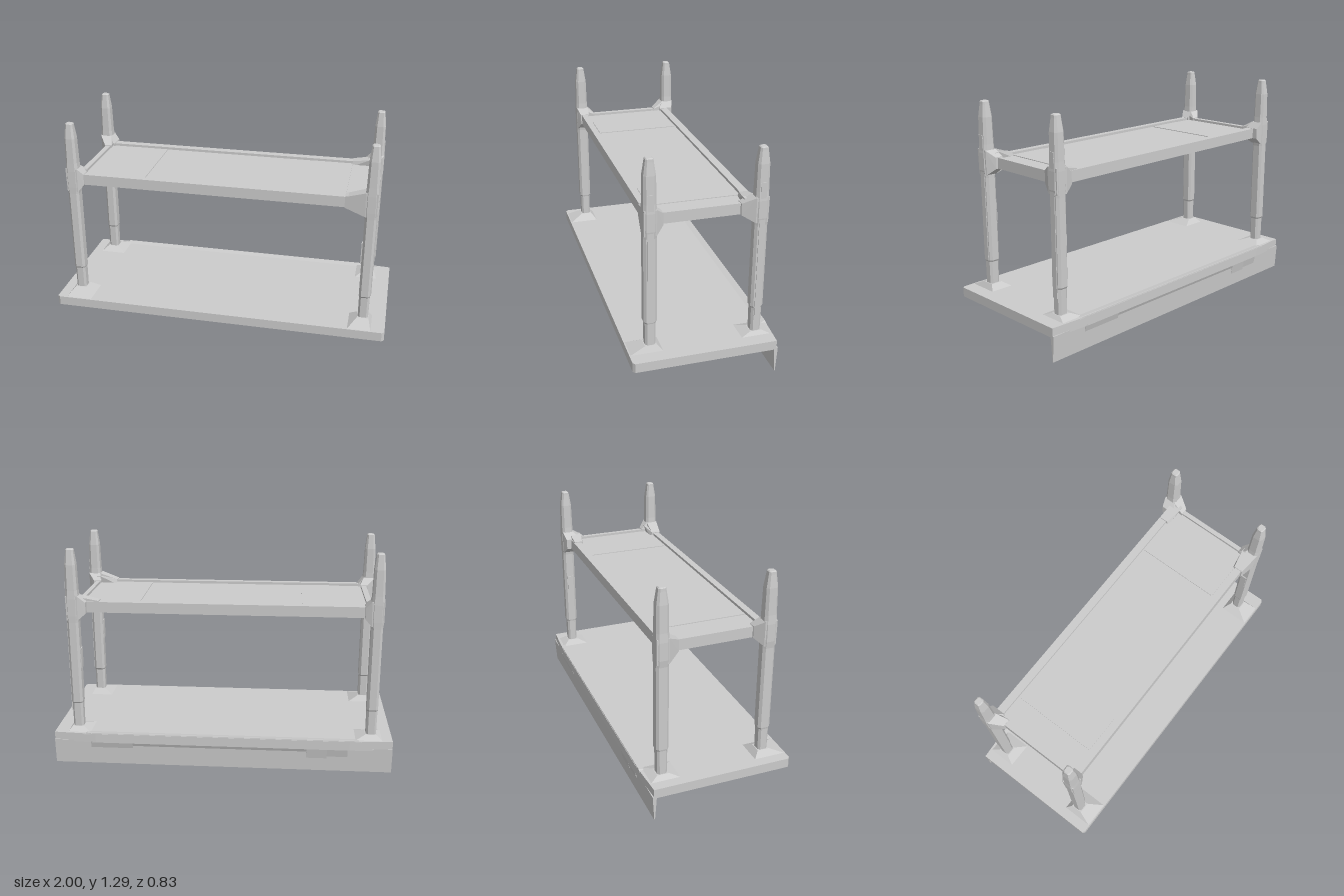
import * as THREE from 'three';
import { ConvexGeometry } from 'three/addons/geometries/ConvexGeometry.js';

const grey = new THREE.MeshStandardMaterial({ color: 0xcccccc, flatShading: true });

function add(parent, name, geometry) {
  const mesh = new THREE.Mesh(geometry, grey);
  mesh.name = name;
  parent.add(mesh);
  return mesh;
}

// Box given by its limits on each axis
function box(parent, name, x0, x1, y0, y1, z0, z1) {
  const mesh = add(parent, name, new THREE.BoxGeometry(x1 - x0, y1 - y0, z1 - z0));
  mesh.position.set((x0 + x1) / 2, (y0 + y1) / 2, (z0 + z1) / 2);
}

// Four corners of a horizontal rectangle
const rect = (y, x0, x1, z0, z1) =>
  [[x0, z0], [x1, z0], [x1, z1], [x0, z1]].map(([x, z]) => new THREE.Vector3(x, y, z));

const hull = (parent, name, ...points) => add(parent, name, new ConvexGeometry(points.flat()));

// Stack of corner-cut rectangles, each [y, x0, x1, z0, z1], closed at both ends
function loft(rings) {
  const pos = [], index = [], n = 8;
  for (const [y, x0, x1, z0, z1] of rings) {
    const c = Math.min(x1 - x0, z1 - z0) * 0.2;
    for (const [x, z] of [[x0 + c, z0], [x0, z0 + c], [x0, z1 - c], [x0 + c, z1],
      [x1 - c, z1], [x1, z1 - c], [x1, z0 + c], [x1 - c, z0]]) pos.push(x, y, z);
  }
  for (let r = 0; r < rings.length - 1; r++) {
    for (let i = 0; i < n; i++) {
      const a = r * n + i, b = r * n + (i + 1) % n;
      index.push(a, b, b + n, a, b + n, a + n);
    }
  }
  const top = (rings.length - 1) * n;
  for (let i = 1; i < n - 1; i++) index.push(0, i + 1, i, top, top + i, top + i + 1);
  const g = new THREE.BufferGeometry();
  g.setAttribute('position', new THREE.Float32BufferAttribute(pos, 3));
  g.setIndex(index);
  const flat = g.toNonIndexed();
  flat.computeVertexNormals();
  return flat;
}

// Prism along x from a convex (z, y) outline
function prismX(parent, name, outline, x0, x1) {
  hull(parent, name, [x0, x1].flatMap(x => outline.map(([z, y]) => new THREE.Vector3(x, y, z))));
}

function makePost(sx, sz) {
  const post = new THREE.Group();
  post.name = (sz > 0 ? 'front' : 'back') + (sx > 0 ? 'Left' : 'Right') + 'Post';
  const cx = sx > 0 ? 0.868 : -0.877;
  const cz = sz > 0 ? 0.288 : -0.313;
  // Shaft with a swollen collar and a tapered tip
  const ring = (y, w, d) => [y, cx - w, cx + w, cz - d, cz + d];
  add(post, 'shaft', loft([
    ring(0.18, 0.03, 0.028), ring(0.36, 0.031, 0.03), ring(0.37, 0.033, 0.036),
    ring(0.86, 0.033, 0.036), ring(0.90, 0.038, 0.037), ring(1.00, 0.038, 0.037),
    ring(1.05, 0.034, 0.035), ring(1.20, 0.031, 0.033), ring(1.27, 0.023, 0.023),
    ring(1.285, 0.022, 0.021), ring(1.29, 0.017, 0.016),
  ]));
  // Flared foot, spreading further toward the deck edges
  const outZ = sz > 0 ? 0.405 : -0.39, inZ = sz * 0.225;
  const outX = sx > 0 ? 0.92 : -0.94, inX = sx * 0.785;
  hull(post, 'foot', rect(0.18, outX, inX, outZ, inZ), rect(0.195, outX, inX, outZ, inZ),
    rect(sz > 0 ? 0.228 : 0.215, cx - 0.034, cx + 0.034, cz - 0.034, cz + 0.034));
  // Gussets reaching out to the long rail and the end rail
  const reach = sx < 0 ? -0.81 : sz > 0 ? 0.72 : 0.79;
  const root = [...rect(0.875, cx - 0.032, cx + 0.032, cz - 0.034, cz + 0.034),
    ...rect(1.018, cx - 0.035, cx + 0.035, cz - 0.035, cz + 0.035)];
  const ends = (x0, x1, z0, z1) => [...rect(0.914, x0, x1, z0, z1), ...rect(0.979, x0, x1, z0, z1)];
  hull(post, 'longGusset', root, ends(reach, reach + sx * 0.01, sz * 0.25, sz > 0 ? 0.305 : -0.335));
  hull(post, 'endGusset', root, ends(sx * 0.82, sx * 0.865, sz * 0.21, sz * 0.22));
  // Flat corner plate and thin weathered strips on the left side
  if (sx > 0) {
    hull(post, 'cornerPlate', rect(0.95, 0.72, 0.85, sz * 0.24, sz * 0.30),
      rect(0.982, 0.72, 0.73, sz * 0.25, sz * 0.30), rect(1.0, 0.82, 0.85, sz * 0.23, sz * 0.30));
    box(post, 'outerStrip', 0.88, 0.905, sz > 0 ? 0.37 : 0.31, 1.1, cz - 0.016, cz + 0.016);
    box(post, 'innerStrip', 0.829, 0.86, 0.58, 0.70, cz - 0.018, cz + 0.018);
  }
  return post;
}

export function createModel() {
  const model = new THREE.Group();
  model.name = 'twoTierShelf';

  // Lower deck with trimmed corners and a slightly raised back lip
  const plan = [[-0.985, 0.412], [0.985, 0.412], [1, 0.40], [1, -0.398], [0.75, -0.415],
    [-0.75, -0.415], [-1, -0.398], [-1, 0.40]];
  hull(model, 'lowerDeck', [0.14, 0.195].flatMap(y => plan.map(([x, z]) => new THREE.Vector3(x, y, z))));
  hull(model, 'backLip', rect(0.19, -0.82, 0.82, -0.413, -0.34), rect(0.2, -0.8, 0.8, -0.412, -0.405));

  // Hanging back skirt with uneven fillets below the deck
  prismX(model, 'backSkirt', [[-0.382, 0.15], [-0.406, 0.15], [-0.400, 0.08], [-0.397, 0],
    [-0.393, 0]], -1, 1);
  for (const [x0, x1, y] of [[-0.74, -0.62, 0.09], [-0.62, -0.5, 0.08], [-0.5, 0.53, 0.115],
    [0.53, 0.78, 0.10]])
    prismX(model, 'skirtFillet', [[-0.35, 0.145], [-0.414, 0.145], [-0.402, y], [-0.386, y]], x0, x1);

  // Upper shelf: sunken panel with raised end plates, framed by four rails
  const shelf = new THREE.Group();
  shelf.name = 'upperShelf';
  model.add(shelf);
  box(shelf, 'panel', -0.84, 0.84, 0.915, 0.962, -0.265, 0.265);
  for (const [x0, x1] of [[-0.68, -0.455], [0.49, 0.72]])
    box(shelf, 'endPlate', x0, x1, 0.95, 0.966, -0.25, 0.25);
  box(shelf, 'frontRail', -0.86, 0.85, 0.914, 0.977, 0.258, 0.298);
  box(shelf, 'backRail', -0.86, 0.85, 0.914, 0.977, -0.305, -0.258);
  box(shelf, 'leftEndRail', 0.825, 0.852, 0.914, 0.976, -0.28, 0.27);
  box(shelf, 'rightEndRail', -0.857, -0.825, 0.914, 0.976, -0.28, 0.27);

  // Four corner posts
  for (const sx of [-1, 1]) for (const sz of [-1, 1]) model.add(makePost(sx, sz));

  return model;
}
